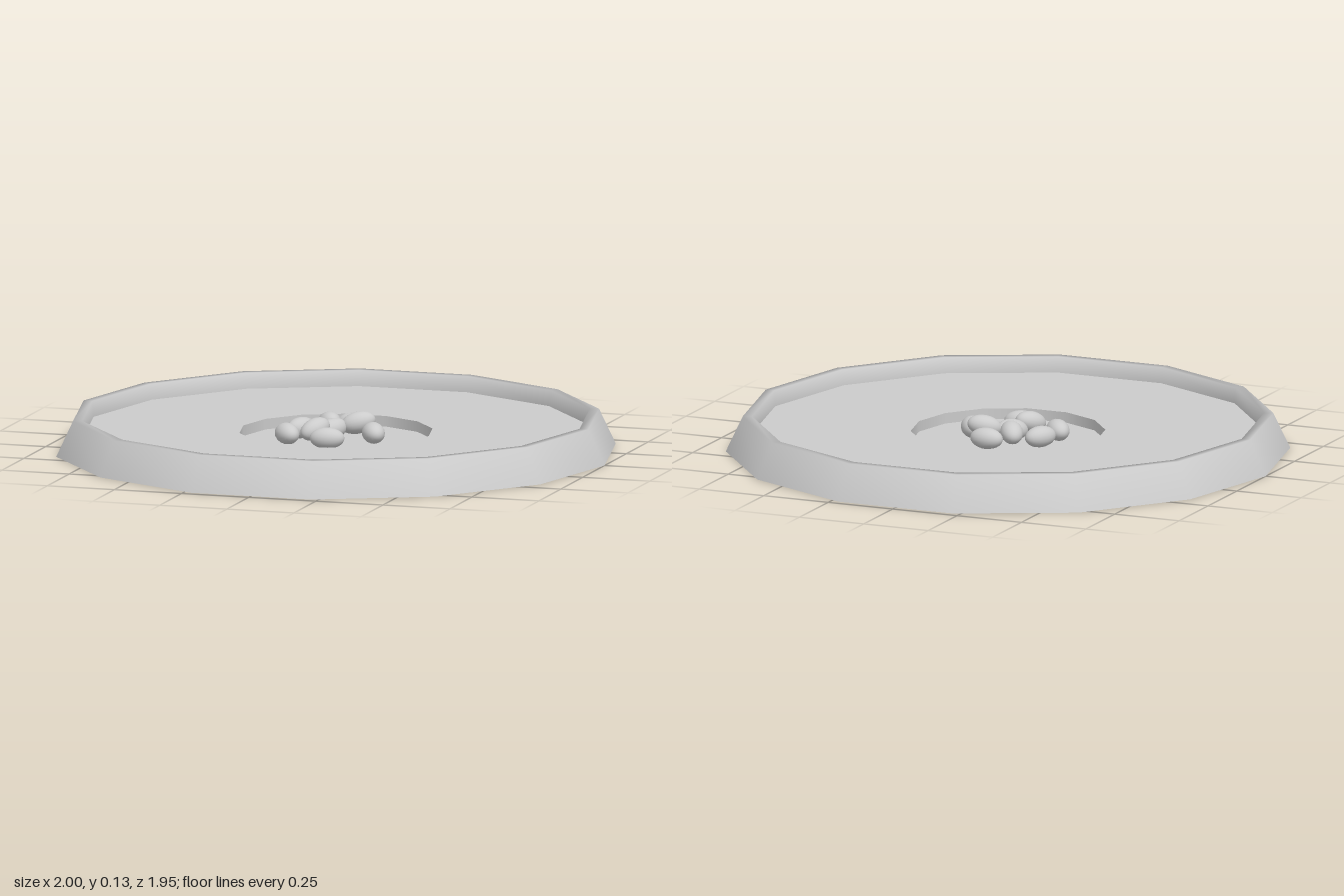
import * as THREE from 'three';

const SIDES = 14;
const mat = new THREE.MeshStandardMaterial({ color: 0xcccccc });

// Fourteen-sided ring swept from [radius, height] points, with a corner on the x axis
function ring(name, points) {
  const profile = points.map(([r, y]) => new THREE.Vector2(r, y));
  const mesh = new THREE.Mesh(new THREE.LatheGeometry(profile, SIDES, Math.PI / 2), mat);
  mesh.name = name;
  return mesh;
}

export function createModel() {
  const model = new THREE.Group();
  model.name = 'dish';

  // Dish: base, sloped wall with softly shaded rim, floor, and sunken middle
  model.add(
    ring('base', [[0, 0], [1, 0]]),
    ring('rim', [[1, 0], [0.94, 0.127], [0.907, 0.127], [0.903, 0.07]]),
    ring('floor', [[0.903, 0.07], [0.345, 0.07]]),
    ring('wellWall', [[0.345, 0.07], [0.345, 0.032]]),
    ring('wellFloor', [[0.345, 0.032], [0, 0.032]])
  );

  // Pile of beans: x, y, z, heading and pitch in degrees
  const beans = [
    [0.016, 0.072, -0.15, -3, 0],
    [-0.05, 0.085, -0.08, -58, 10],
    [0.064, 0.094, -0.06, 25, 12],
    [-0.14, 0.068, -0.032, 62, 0],
    [-0.016, 0.075, 0.0, 55, 10],
    [0.139, 0.07, 0.0, -60, 0],
    [-0.153, 0.067, 0.09, -50, 0],
    [-0.05, 0.088, 0.085, 60, 15],
    [0.016, 0.07, 0.152, 12, 0],
  ];
  const pile = new THREE.Group();
  pile.name = 'beans';
  const beanGeometry = new THREE.SphereGeometry(1, 20, 14).rotateZ(Math.PI / 2).scale(0.062, 0.038, 0.04);
  for (const [x, y, z, heading, pitch] of beans) {
    const bean = new THREE.Mesh(beanGeometry, mat);
    bean.name = 'bean';
    bean.position.set(x, y, z);
    bean.rotation.set(0, THREE.MathUtils.degToRad(heading), THREE.MathUtils.degToRad(pitch), 'YXZ');
    pile.add(bean);
  }
  model.add(pile);
  return model;
}
